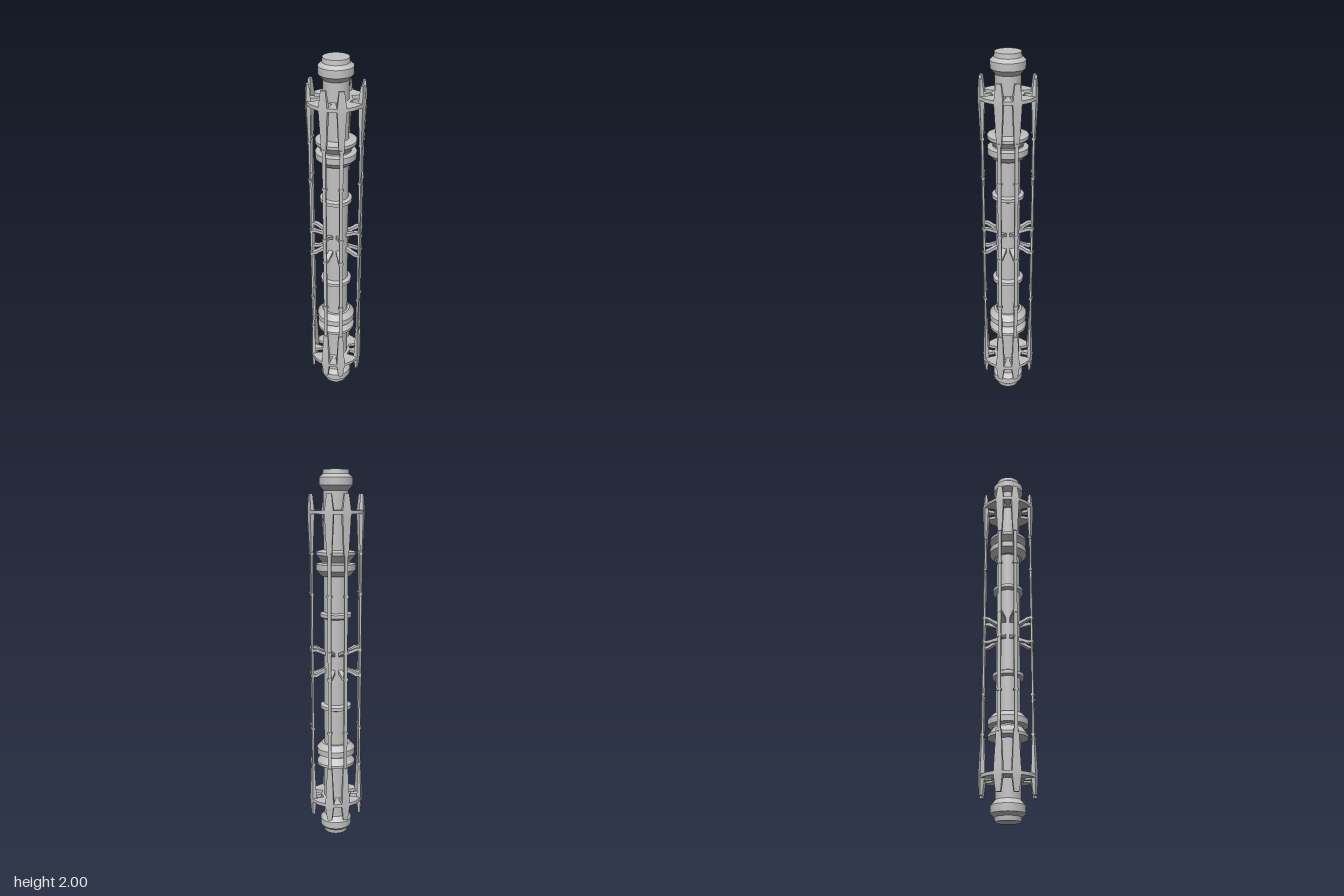
import * as THREE from 'three';
import { toCreasedNormals } from 'three/addons/utils/BufferGeometryUtils.js';

const MID = 1;

// mirror a list of [value..., height above middle] rows into a full list, bottom to top
function mirrored(rows) {
  const below = rows.slice().reverse().map(r => [...r.slice(0, -1), -r[r.length - 1]]);
  return below.concat(rows);
}

// bar with rectangular sections [halfWidth, innerRadius, outerRadius, height], listed bottom to top
function loftBar(sections) {
  const rings = sections.map(([w, ri, ro, y]) => [[-w, y, ro], [w, y, ro], [w, y, ri], [-w, y, ri]]);
  const pos = [];
  const quad = (a, b, c, d) => pos.push(...a, ...b, ...c, ...a, ...c, ...d);
  for (let k = 0; k < rings.length - 1; k++) {
    for (let i = 0; i < 4; i++) {
      const j = (i + 1) % 4;
      quad(rings[k][i], rings[k][j], rings[k + 1][j], rings[k + 1][i]);
    }
  }
  const [b, t] = [rings[0], rings[rings.length - 1]];
  quad(b[3], b[2], b[1], b[0]);
  quad(t[0], t[1], t[2], t[3]);
  const g = new THREE.BufferGeometry();
  g.setAttribute('position', new THREE.Float32BufferAttribute(pos, 3));
  g.computeVertexNormals();
  return g;
}

export function createModel() {
  const model = new THREE.Group();
  const grey = new THREE.MeshStandardMaterial({ color: 0xc2c2c2 });
  grey.name = 'grey metal';

  const add = (parent, name, geometry, y = 0, mat = grey) => {
    const mesh = new THREE.Mesh(geometry, mat);
    mesh.name = name;
    mesh.position.y = y;
    parent.add(mesh);
    return mesh;
  };

  // angles of the eight rails, in pairs on every second edge of a 20-sided ring
  const angles = [];
  for (let q = 0; q < 4; q++) angles.push(q * 90 + 27, q * 90 + 63);
  const rad = angles.map(THREE.MathUtils.degToRad);

  // turned core with flanges and end collars
  const half = [
    [0.065, 0.235], [0.084, 0.245], [0.084, 0.263], [0.065, 0.27],
    [0.065, 0.463], [0.078, 0.463], [0.105, 0.493], [0.105, 0.525],
    [0.078, 0.53], [0.078, 0.538], [0.105, 0.573], [0.105, 0.588], [0.065, 0.598],
    [0.065, 0.895], [0.087, 0.922], [0.087, 0.96], [0.068, 0.977], [0.065, 1],
  ];
  const profile = [[0, -1], ...mirrored(half), [0, 1]].map(([r, y]) => new THREE.Vector2(r, y));
  add(model, 'core', toCreasedNormals(new THREE.LatheGeometry(profile, 40), 0.4), MID);

  // slotted 20-sided end plates
  const plate = new THREE.Shape();
  for (let i = 0; i < 20; i++) {
    const a = i * Math.PI / 10;
    plate[i ? 'lineTo' : 'moveTo'](0.149 * Math.cos(a), 0.149 * Math.sin(a));
  }
  plate.closePath();
  for (const a of rad) {
    const slot = [[0.08, -0.018], [0.08, 0.018], [0.134, 0.018], [0.134, -0.018]];
    plate.holes.push(new THREE.Path(slot.map(([r, t]) =>
      new THREE.Vector2(r * Math.cos(a) - t * Math.sin(a), r * Math.sin(a) + t * Math.cos(a)))));
  }
  const plateGeo = new THREE.ExtrudeGeometry(plate, { depth: 0.018, bevelEnabled: false });
  plateGeo.rotateX(-Math.PI / 2).translate(0, -0.009, 0);
  for (const s of [1, -1]) add(model, s > 0 ? 'upperPlate' : 'lowerPlate', plateGeo, MID + s * 0.79);

  // long outer rail with tapered fins at both ends
  const railGeo = loftBar(mirrored([
    [0.009, 0.131, 0.141, 0.575],
    [0.014, 0.131, 0.142, 0.59],
    [0.0225, 0.126, 0.148, 0.775],
    [0.0225, 0.126, 0.148, 0.8],
    [0.013, 0.132, 0.144, 0.88],
  ]));
  const clipGeo = new THREE.BoxGeometry(0.026, 0.012, 0.018);

  // strut from the core out to a rail, rising outwards
  const strutShape = new THREE.Shape([
    [0.06, -0.036], [0.09, -0.02], [0.12, -0.007], [0.144, -0.007],
    [0.144, 0.008], [0.112, 0.008], [0.085, -0.006], [0.06, -0.012],
  ].map(([r, y]) => new THREE.Vector2(r, y)));
  const strutGeo = new THREE.ExtrudeGeometry(strutShape, { depth: 0.024, bevelEnabled: false });
  strutGeo.translate(0, 0, -0.012).rotateY(-Math.PI / 2);

  rad.forEach((a) => {
    const unit = new THREE.Group();
    unit.name = 'railUnit';
    unit.rotation.y = a;
    add(unit, 'rail', railGeo, MID);
    for (const s of [1, -1]) {
      for (const h of [0.37, 0.58]) add(unit, 'railClip', clipGeo, MID + s * h).position.z = 0.136;
      // lower struts are turned over about the radial axis
      const strut = add(unit, 'strut', strutGeo, MID + s * 0.07);
      if (s < 0) strut.rotation.z = Math.PI;
    }
    model.add(unit);
  });
  return model;
}
